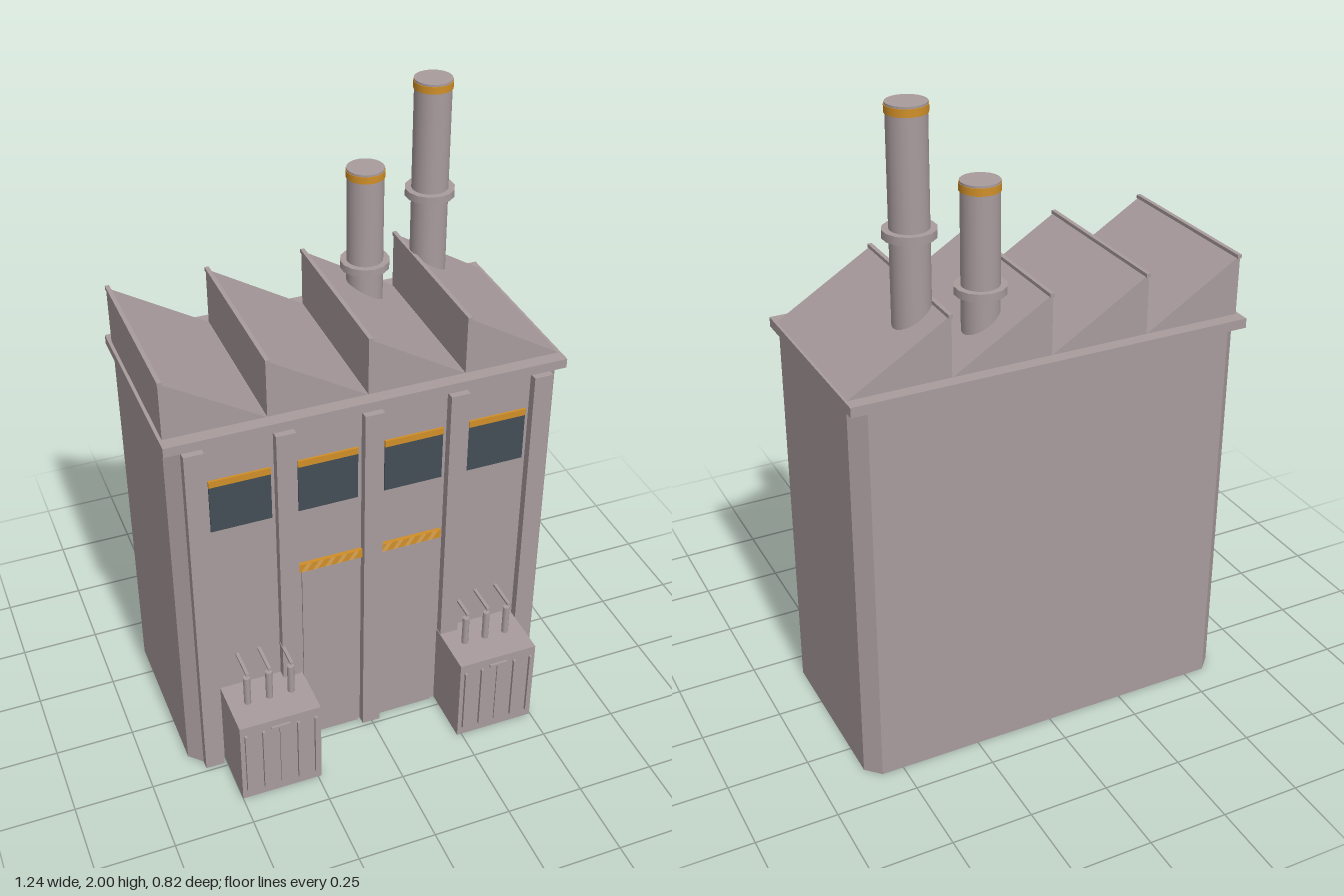
import * as THREE from 'three';

const mat = (name, color) => Object.assign(new THREE.MeshStandardMaterial({ color }), { name });

export function createModel() {
  const model = new THREE.Group();
  model.name = 'factory';
  const wall = mat('warm grey wall', 0xa89b9d);
  const glass = mat('dark glass', 0x434e55);
  const amber = mat('amber trim', 0xd08f28);
  const paleAmber = mat('pale amber stripe', 0xd9a252);

  const add = (name, geo, material, parent = model) => {
    const mesh = new THREE.Mesh(geo, material);
    mesh.name = name;
    parent.add(mesh);
    return mesh;
  };
  // Box given by its lower and upper limits on each axis
  const box = (name, [x0, x1], [y0, y1], [z0, z1], material, parent) => {
    const mesh = add(name, new THREE.BoxGeometry(x1 - x0, y1 - y0, z1 - z0), material, parent);
    mesh.position.set((x0 + x1) / 2, (y0 + y1) / 2, (z0 + z1) / 2);
    return mesh;
  };
  const polygon = (points) => new THREE.Shape(points.map(([x, y]) => new THREE.Vector2(x, y)));
  const extrude = (points, depth) =>
    new THREE.ExtrudeGeometry(polygon(points), { depth, bevelEnabled: false });

  // Main block with chamfered corners, drawn in plan and stood upright
  const W = 0.61, F = 0.21, B = 0.4, C = 0.043;
  const block = extrude([
    [-W + C, -F], [W - C, -F], [W, -F + C], [W, B - C],
    [W - C, B], [-W + C, B], [-W, B - C], [-W, -F + C],
  ], 1.23);
  block.rotateX(-Math.PI / 2);
  add('mainBlock', block, wall);
  box('roofSlab', [-0.62, 0.62], [1.23, 1.26], [-0.414, 0.217], wall);

  // Front pilasters
  for (let i = -2; i <= 2; i++) {
    const x = i * 0.269 - 0.002;
    box('pilaster', [x - 0.03, x + 0.03], [0, 1.23], [0.2, 0.238], wall);
  }

  // Sawtooth roof, upright on the -x side, with a thin cap on each ridge
  for (let i = 0; i < 4; i++) {
    const x = -0.61 + i * 0.306;
    const tooth = extrude([[x, 1.26], [x + 0.304, 1.26], [x, 1.445]], 0.548);
    add('roofTooth', tooth, wall).position.z = -0.373;
    box('ridgeCap', [x - 0.002, x + 0.011], [1.437, 1.449], [-0.378, 0.18], wall);
  }

  // Windows with amber lintels
  for (const x of [-0.405, -0.137, 0.133, 0.402]) {
    box('window', [x - 0.093, x + 0.093], [0.93, 1.09], [0.208, 0.214], glass);
    box('windowLintel', [x - 0.093, x + 0.093], [1.09, 1.112], [0.208, 0.217], amber);
  }

  // Doors under striped lintels
  for (const x of [-0.133, 0.127]) {
    box('door', [x - 0.092, x + 0.092], [0, 0.695], [0.208, 0.216], wall);
    box('doorLintel', [x - 0.102, x + 0.102], [0.701, 0.73], [0.208, 0.222], amber);
    for (let i = 0; i < 5; i++) {
      const s = x - 0.096 + i * 0.038;
      const stripe = extrude([[s, 0.702], [s + 0.016, 0.702], [s + 0.034, 0.729], [s + 0.018, 0.729]], 0.002);
      add('hazardStripe', stripe, paleAmber).position.z = 0.221;
    }
  }

  // Chimneys with a collar and an amber band near the top
  const chimney = (x, top, collarY) => {
    const stack = new THREE.Group();
    stack.name = 'chimney';
    stack.position.set(x, 0, -0.242);
    model.add(stack);
    const cylinder = (name, r, y0, y1, material, sides = 20) => {
      add(name, new THREE.CylinderGeometry(r, r, y1 - y0, sides), material, stack).position.y = (y0 + y1) / 2;
    };
    cylinder('shaft', 0.056, 1.265, top - 0.003, wall);
    cylinder('collar', 0.076, collarY - 0.012, collarY + 0.012, wall, 14);
    cylinder('amberBand', 0.059, top - 0.028, top - 0.006, amber);
    cylinder('rim', 0.057, top - 0.006, top, wall);
  };
  chimney(0.158, 1.757, 1.443);
  chimney(0.366, 2, 1.645);

  // Transformer cabinets against the front wall
  for (const x of [-0.369, 0.366]) {
    const unit = new THREE.Group();
    unit.name = 'transformer';
    unit.position.x = x;
    model.add(unit);
    box('cabinet', [-0.131, 0.131], [0, 0.305], [0.2, 0.4], wall, unit);
    for (let i = -2; i <= 2; i++) {
      const fx = i * 0.0565;
      box('coolingFin', [fx - 0.004, fx + 0.004], [0.035, 0.273], [0.4, i ? 0.41 : 0.405], wall, unit);
    }
    box('finBracket', [-0.03, 0.03], [0.273, 0.281], [0.4, 0.407], wall, unit);
    for (const px of [-0.071, 0, 0.071]) {
      add('insulator', new THREE.CylinderGeometry(0.011, 0.011, 0.105, 10), wall, unit)
        .position.set(px, 0.3575, 0.299);
      box('conductor', [px - 0.005, px + 0.005], [0.427, 0.435], [0.2, 0.312], wall, unit);
    }
  }
  return model;
}
